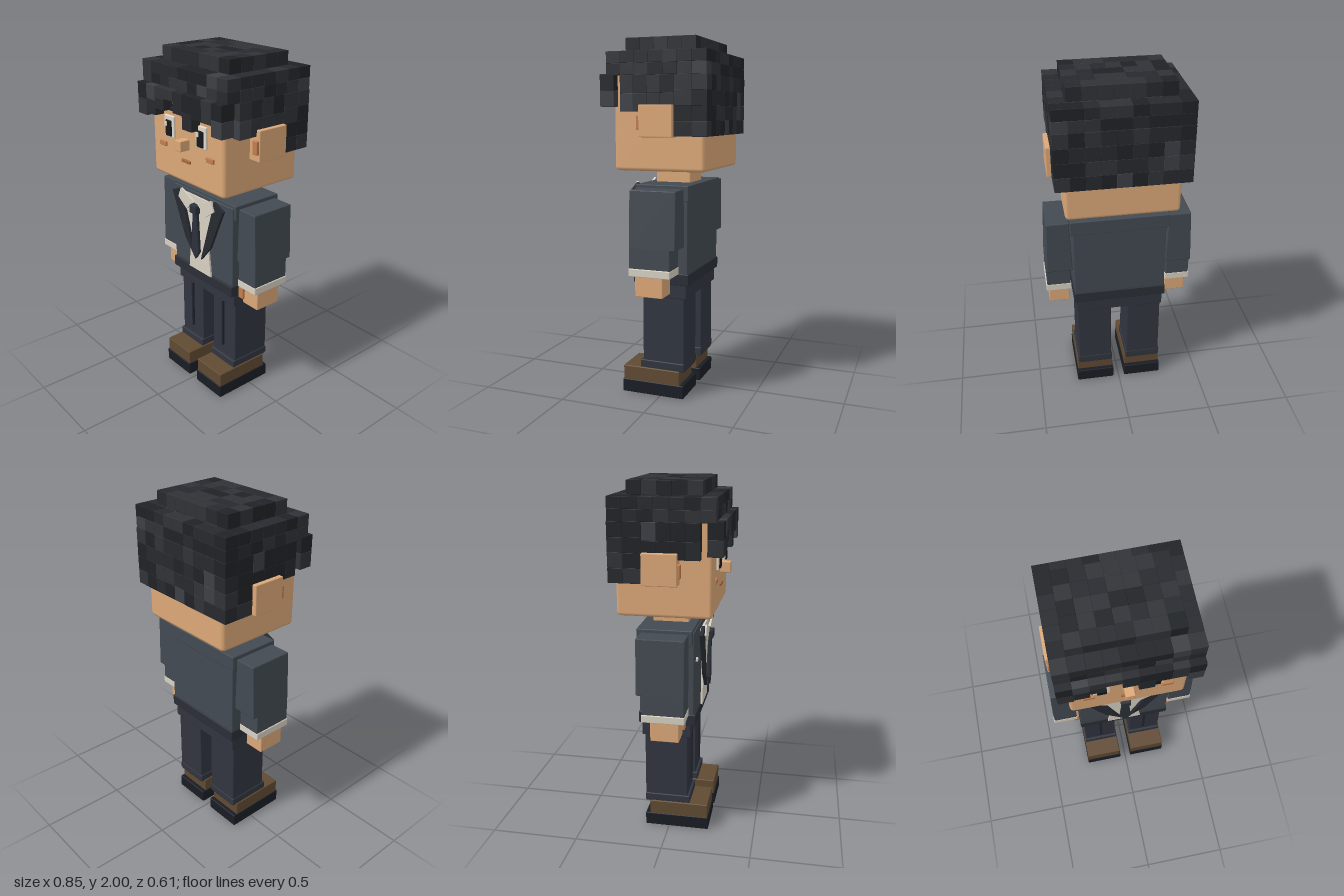
import * as THREE from 'three';
import { RoundedBoxGeometry } from 'three/addons/geometries/RoundedBoxGeometry.js';
import { mergeGeometries } from 'three/addons/utils/BufferGeometryUtils.js';

const mat = (color) => {
  const m = new THREE.MeshStandardMaterial();
  m.color.set(color);
  return m;
};
const M = {
  skin: mat(0xdca878), blush: mat(0xc27e4e), mouth: mat(0xa5683f),
  jacket: mat(0x434a52), hem: mat(0x2a2e35), lapel: mat(0x272b31), tie: mat(0x2b303a),
  trousers: mat(0x31353f), crease: mat(0x20242c), shirt: mat(0xd8d1c3), eyeWhite: mat(0xe2d9cb),
  black: mat(0x17171a), shoe: mat(0x604a32), sole: mat(0x191d24),
};
const hairMats = [0x1f2226, 0x26292e, 0x303237, 0x3c3f45].map(mat);

export function createModel() {
  const root = new THREE.Group();
  root.name = 'suitedFigure';

  // box from its limits, with slightly softened edges
  const box = (name, material, x0, x1, y0, y1, z0, z1, r = 0.005) => {
    const w = x1 - x0, h = y1 - y0, d = z1 - z0;
    const geo = new RoundedBoxGeometry(w, h, d, 1, Math.min(r, w / 4, h / 4, d / 4));
    const mesh = new THREE.Mesh(geo, material);
    mesh.position.set((x0 + x1) / 2, (y0 + y1) / 2, (z0 + z1) / 2);
    mesh.name = name;
    root.add(mesh);
    return mesh;
  };
  // the same box on side s, given for the +x side
  const sided = (s, name, material, x0, x1, ...rest) =>
    box((s > 0 ? 'left' : 'right') + name, material, s > 0 ? x0 : -x1, s > 0 ? x1 : -x0, ...rest);
  // flat cut-out of cloth between two depths
  const cloth = (name, material, points, z0, z1, s = 1) => {
    const shape = new THREE.Shape(points.map(([x, y]) => new THREE.Vector2(x * s, y)));
    const mesh = new THREE.Mesh(new THREE.ExtrudeGeometry(shape, { depth: z1 - z0, bevelEnabled: false }), material);
    mesh.position.z = z0;
    mesh.name = name;
    root.add(mesh);
  };

  // head and face
  box('head', M.skin, -0.31, 0.31, 1.29, 1.85, -0.275, 0.245, 0.02);
  box('neck', M.skin, -0.095, 0.095, 1.19, 1.3, -0.12, 0.085);
  box('nose', M.skin, -0.025, 0.025, 1.49, 1.55, 0.24, 0.305);
  box('mouth', M.mouth, -0.038, 0.038, 1.414, 1.432, 0.24, 0.256);
  for (const s of [1, -1]) {
    sided(s, 'Ear', M.skin, 0.3, 0.385, 1.475, 1.645, -0.12, 0.07);
    sided(s, 'EarInner', M.blush, 0.345, 0.38, 1.515, 1.59, 0.06, 0.086);
    sided(s, 'Eye', M.eyeWhite, 0.095, 0.182, 1.53, 1.65, 0.24, 0.258);
    sided(s, 'Pupil', M.black, 0.113, 0.163, 1.537, 1.625, 0.25, 0.266);
    box('eyeHighlight', M.eyeWhite, s * 0.138 - 0.021, s * 0.138 - 0.006, 1.592, 1.617, 0.26, 0.271);
    sided(s, 'Brow', hairMats[0], 0.085, 0.2, 1.68, 1.702, 0.24, 0.262);
    sided(s, 'Cheek', M.blush, 0.175, 0.235, 1.466, 1.493, 0.24, 0.256);
  }

  // hair: blocks split into cubes of mixed shades
  let seed = 7;
  const random = () => (seed = (seed * 16807) % 2147483647) / 2147483647;
  const buckets = hairMats.map(() => []);
  const hairBlock = (x0, x1, y0, y1, z0, z1) => {
    const lo = [x0, y0, z0];
    const size = [x1 - x0, y1 - y0, z1 - z0];
    const n = size.map((v) => Math.max(1, Math.round(v / 0.08)));
    const d = size.map((v, i) => v / n[i]);
    for (let i = 0; i < n[0]; i++) for (let j = 0; j < n[1]; j++) for (let k = 0; k < n[2]; k++) {
      const g = new RoundedBoxGeometry(d[0], d[1], d[2], 1, 0.002);
      g.translate(lo[0] + (i + 0.5) * d[0], lo[1] + (j + 0.5) * d[1], lo[2] + (k + 0.5) * d[2]);
      const t = random();
      buckets[t < 0.3 ? 0 : t < 0.65 ? 1 : t < 0.94 ? 2 : 3].push(g);
    }
  };
  hairBlock(-0.28, 0.28, 1.925, 2.0, -0.215, 0.185);
  hairBlock(-0.36, 0.36, 1.8, 1.925, -0.3, 0.265);
  hairBlock(-0.36, 0.36, 1.48, 1.8, -0.303, -0.22);
  for (const s of [1, -1]) {
    const [a, b] = s > 0 ? [0.28, 0.36] : [-0.36, -0.28];
    hairBlock(a, b, 1.48, 1.8, -0.22, -0.12);
    hairBlock(a, b, 1.61, 1.8, -0.12, 0.185);
  }
  const fringe = [1.63, 1.645, 1.685, 1.75, 1.69, 1.62, 1.69, 1.69, 1.635];
  fringe.forEach((y, i) => hairBlock(-0.36 + i * 0.08, -0.28 + i * 0.08, y, 1.807, 0.22, 0.303));
  buckets.forEach((list, i) => {
    const mesh = new THREE.Mesh(mergeGeometries(list), hairMats[i]);
    mesh.name = 'hairShade' + (i + 1);
    root.add(mesh);
  });

  // jacket
  box('torso', M.jacket, -0.265, 0.265, 0.68, 1.2, -0.165, 0.143);
  box('shoulders', M.jacket, -0.28, 0.28, 1.13, 1.215, -0.175, 0.135);
  box('jacketHem', M.hem, -0.27, 0.27, 0.66, 0.725, -0.172, 0.155);
  box('pocketSquare', M.shirt, -0.207, -0.18, 1.02, 1.04, 0.14, 0.155);

  // shirt, collar, lapels and tie
  cloth('shirtFront', M.shirt,
    [[-0.14, 1.19], [0.14, 1.19], [0.08, 0.9], [0.1, 0.725], [-0.1, 0.725], [-0.08, 0.9]], 0.156, 0.167);
  for (const s of [1, -1]) {
    cloth('lapel', M.lapel,
      [[0.228, 1.178], [0.15, 1.212], [0.125, 1.12], [0.03, 0.818], [0.115, 0.92], [0.195, 1.105]], 0.166, 0.184, s);
    cloth('collar', M.shirt, [[0.135, 1.218], [0.16, 1.16], [0.085, 1.105], [0.015, 1.165]], 0.18, 0.193, s);
  }
  cloth('tie', M.tie, [[-0.018, 1.12], [0.018, 1.12], [0.033, 0.87], [0, 0.82], [-0.033, 0.87]], 0.184, 0.2);
  box('tieKnot', M.tie, -0.028, 0.028, 1.105, 1.157, 0.18, 0.215);

  // arms
  for (const s of [1, -1]) {
    const upper = sided(s, 'UpperArm', M.jacket, 0.27, 0.42, 0.88, 1.197, -0.15, 0.115);
    const p = upper.geometry.attributes.position;
    for (let i = 0; i < p.count; i++) {
      if (p.getY(i) > 0) p.setX(i, p.getX(i) * 0.84); // narrower at the shoulder
    }
    upper.geometry.computeVertexNormals();
    sided(s, 'Forearm', M.jacket, 0.283, 0.42, 0.765, 0.89, -0.12, 0.115);
    sided(s, 'ShirtCuff', M.shirt, 0.28, 0.425, 0.728, 0.772, -0.122, 0.118);
    sided(s, 'Hand', M.skin, 0.29, 0.41, 0.615, 0.735, -0.075, 0.085);
    sided(s, 'Thumb', M.blush, 0.265, 0.305, 0.645, 0.715, 0.05, 0.1);
  }

  // hips, legs and shoes
  box('hips', M.trousers, -0.257, 0.257, 0.58, 0.67, -0.155, 0.125);
  for (const s of [1, -1]) {
    sided(s, 'Leg', M.trousers, 0.05, 0.25, 0.15, 0.59, -0.14, 0.107);
    sided(s, 'TrouserCuff', M.trousers, 0.044, 0.256, 0.158, 0.203, -0.142, 0.122);
    sided(s, 'Crease', M.crease, 0.137, 0.152, 0.265, 0.575, 0.1, 0.119);
    sided(s, 'Shoe', M.shoe, 0.04, 0.26, 0.07, 0.157, -0.115, 0.227);
    sided(s, 'Sole', M.sole, 0.035, 0.264, 0, 0.076, -0.14, 0.232);
  }
  return root;
}
